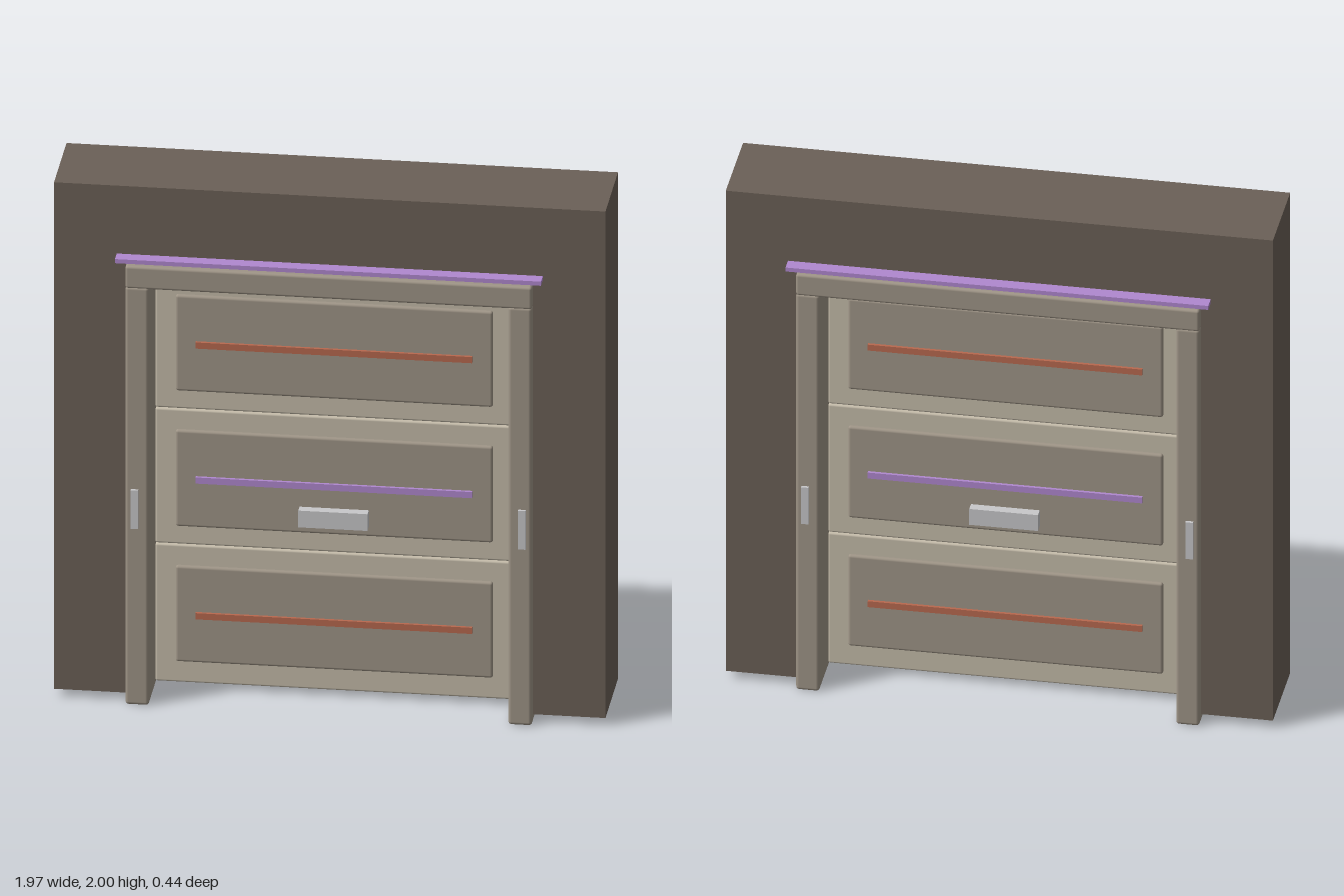
import * as THREE from 'three';
import { RoundedBoxGeometry } from 'three/addons/geometries/RoundedBoxGeometry.js';

const mat = (name, color) => {
  const m = new THREE.MeshStandardMaterial({ color });
  m.name = name;
  return m;
};

export function createModel() {
  const wallMat = mat('dark wall', 0x6b6057);
  const frameMat = mat('frame taupe', 0x9f9587);
  const doorMat = mat('door beige', 0xc5bcaa);
  const purple = mat('purple trim', 0xb088cf);
  const rust = mat('rust trim', 0xb8694f);
  const metal = mat('pale metal', 0xc8c8ca);

  const model = new THREE.Group();
  model.name = 'sectionalDoor';

  const add = (name, geometry, material, x, y, z) => {
    const mesh = new THREE.Mesh(geometry, material);
    mesh.name = name;
    mesh.position.set(x, y, z);
    model.add(mesh);
    return mesh;
  };
  // Box spanning y0..y1, centred on x and z; a radius rounds its edges
  const block = (name, material, x, w, y0, y1, depth, radius = 0) => {
    const h = y1 - y0;
    const g = radius
      ? new RoundedBoxGeometry(w, h, depth, 2, radius)
      : new THREE.BoxGeometry(w, h, depth);
    return add(name, g, material, x, (y0 + y1) / 2, 0);
  };

  // Wall with the doorway cut out of its lower edge
  const outline = new THREE.Shape();
  outline.moveTo(-0.987, 0.03);
  [[-0.67, 0.03], [-0.67, 1.65], [0.67, 1.65], [0.67, 0.03], [0.987, 0.03], [0.987, 2], [-0.987, 2]]
    .forEach(([x, y]) => outline.lineTo(x, y));
  outline.closePath();
  add('wall', new THREE.ExtrudeGeometry(outline, { depth: 0.344, bevelEnabled: false }), wallMat, 0, 0, -0.172);

  // Frame: posts, lintel and the trim above it, all passing through the wall
  for (const s of [-1, 1]) {
    block(s > 0 ? 'leftPost' : 'rightPost', frameMat, s * 0.6855, 0.085, 0, 1.625, 0.42, 0.012);
    block(s > 0 ? 'leftPostPlate' : 'rightPostPlate', metal, s * 0.6935, 0.027, 0.69, 0.84, 0.442);
  }
  block('lintel', frameMat, 0, 1.456, 1.618, 1.705, 0.42, 0.01);
  block('lintelTrim', purple, 0, 1.525, 1.72, 1.736, 0.442);

  // Three door sections, each with a raised panel and a coloured strip on both faces
  const sections = [
    { y0: 0.022, y1: 0.557, p0: 0.106, p1: 0.479, bar: 0.292, colour: rust },
    { y0: 0.559, y1: 1.084, p0: 0.632, p1: 1.007, bar: 0.82, colour: purple },
    { y0: 1.086, y1: 1.612, p0: 1.159, p1: 1.532, bar: 1.345, colour: rust },
  ];
  for (const { y0, y1, p0, p1, bar, colour } of sections) {
    block('doorSection', doorMat, 0, 1.284, y0, y1, 0.08, 0.008);
    block('doorPanel', frameMat, 0, 1.136, p0, p1, 0.104, 0.01);
    block('panelStrip', colour, 0, 0.99, bar - 0.012, bar + 0.012, 0.126);
  }

  // Grip on the middle section, front and back
  block('grip', metal, 0, 0.248, 0.67, 0.735, 0.174);

  return model;
}
